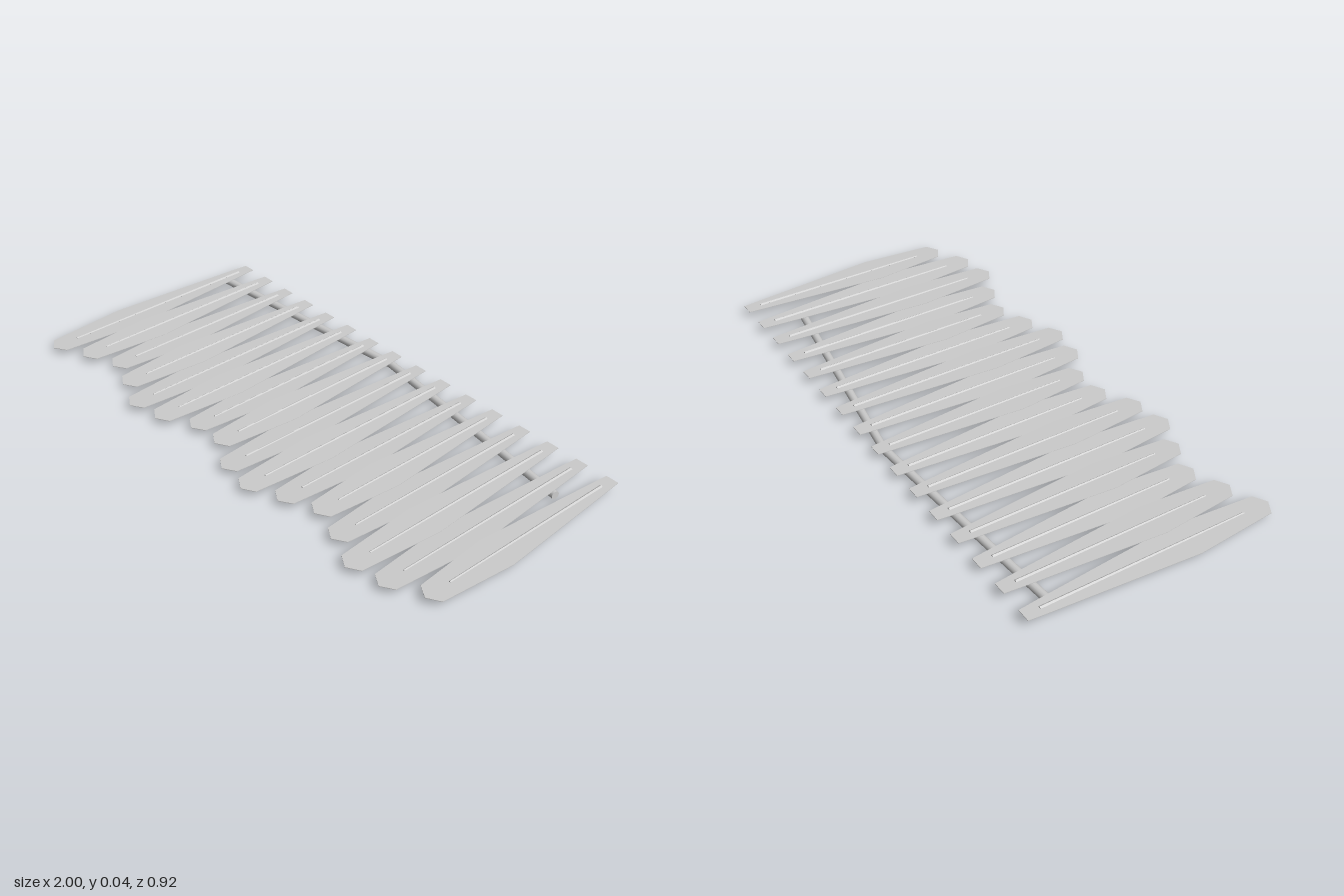
import * as THREE from 'three';

const material = new THREE.MeshStandardMaterial({ color: 0xcccccc, flatShading: true, side: THREE.DoubleSide });
const smooth = new THREE.MeshStandardMaterial({ color: 0xcccccc });

const SPACING = 0.124;
const BACK = -0.465;
// front tip position of each leaf, from -x to +x
const TIPS = [0.455, 0.405, 0.36, 0.4, 0.455, 0.435, 0.375, 0.37,
  0.435, 0.455, 0.405, 0.36, 0.4, 0.455, 0.435, 0.37];

function add(parent, name, geometry, mat) {
  const mesh = new THREE.Mesh(geometry, mat);
  mesh.name = name;
  parent.add(mesh);
  return mesh;
}

// Thin blade: narrow at the back, widest past the middle, blunt point in front
function bladeGeometry(tip) {
  const widest = BACK + (tip - BACK) * 0.645;
  const half = [[0.024, BACK], [0.03, -0.4], [0.07, widest], [0.045, tip - 0.027]];
  const outline = [
    ...half.map(([x, z]) => new THREE.Vector2(x, -z)),
    new THREE.Vector2(0, -tip),
    ...half.reverse().map(([x, z]) => new THREE.Vector2(-x, -z)),
  ];
  const geometry = new THREE.ExtrudeGeometry(new THREE.Shape(outline), { depth: 0.002, bevelEnabled: false });
  return geometry.rotateX(-Math.PI / 2);
}

// Raised midrib along the blade, tapering towards the tip
function ribGeometry(tip) {
  const start = -0.41, end = tip - 0.1;
  const geometry = new THREE.CylinderGeometry(0.0035, 0.006, end - start, 4);
  return geometry.rotateX(Math.PI / 2).scale(1, 0.7, 1).translate(0, 0.003, (start + end) / 2);
}

// Straight round pole between two points
function poleSegment(parent, name, a, b, radius) {
  const mesh = add(parent, name, new THREE.CylinderGeometry(radius, radius, a.distanceTo(b), 12), smooth);
  mesh.position.copy(a).add(b).multiplyScalar(0.5);
  mesh.quaternion.setFromUnitVectors(new THREE.Vector3(0, 1, 0), b.clone().sub(a).normalize());
}

export function createModel() {
  const model = new THREE.Group();
  model.name = 'leafThatchPanel';

  // Row of overlapping leaves sloping down to the front
  TIPS.forEach((tip, i) => {
    const leaf = new THREE.Group();
    leaf.name = 'leaf' + (i + 1);
    add(leaf, 'blade', bladeGeometry(tip), material);
    add(leaf, 'midrib', ribGeometry(tip), material);
    leaf.position.set((i - 7.5) * SPACING, 0.028 + (i % 2) * 0.0012, 0);
    leaf.rotation.set(0.011, 0, (i % 2 ? -1 : 1) * 0.012);
    model.add(leaf);
  });

  // Bent pole carrying the leaves
  const radius = 0.0145;
  const left = new THREE.Vector3(-0.93, radius, -0.357);
  const bend = new THREE.Vector3(-0.05, radius, -0.424);
  const right = new THREE.Vector3(0.85, radius, -0.287);
  const pole = new THREE.Group();
  pole.name = 'pole';
  poleSegment(pole, 'rightPole', left, bend, radius);
  poleSegment(pole, 'leftPole', bend, right, radius);
  add(pole, 'poleBend', new THREE.SphereGeometry(radius, 12, 8), smooth).position.copy(bend);
  model.add(pole);

  return model;
}
